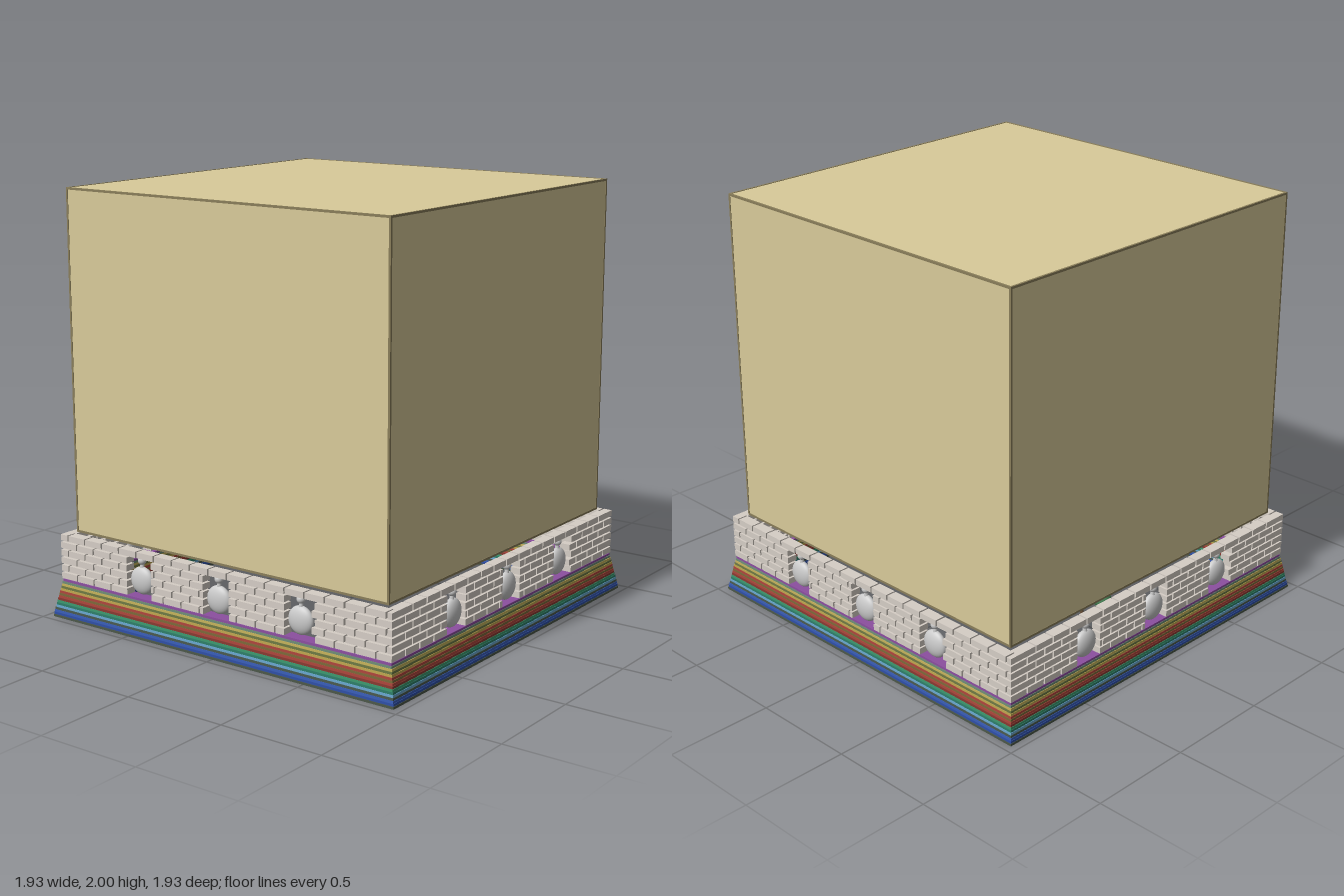
import * as THREE from 'three';

const mat = (color) => new THREE.MeshStandardMaterial({ color });

function add(parent, name, geometry, material, x = 0, y = 0, z = 0) {
  const mesh = new THREE.Mesh(geometry, material);
  mesh.name = name;
  mesh.position.set(x, y, z);
  parent.add(mesh);
  return mesh;
}

function group(parent, name) {
  const g = new THREE.Group();
  g.name = name;
  parent.add(g);
  return g;
}

const box = (w, h, d) => new THREE.BoxGeometry(w, h, d);

// Square ring with mitred sides, lying flat from y = 0 to y = height
function ringGeometry(outer, inner, height) {
  const square = (path, r) => path.moveTo(-r, -r).lineTo(r, -r).lineTo(r, r).lineTo(-r, r).closePath();
  const shape = square(new THREE.Shape(), outer);
  shape.holes.push(square(new THREE.Path(), inner));
  return new THREE.ExtrudeGeometry(shape, { depth: height, bevelEnabled: false }).rotateX(-Math.PI / 2);
}

const BASE_TOP = 0.18, ROWS = 6, ROW = 0.22 / ROWS, GAP = 0.008;
const BRICK = 0.1055, THICK = 0.05, WALL = 0.908, OPENING = 0.073;
const openings = [-0.45, 0, 0.45];

// Stack of coloured strata, each a little narrower than the one below
function buildBase(parent) {
  const colors = [0x4c584a, 0x2f50a8, 0x3a5fba, 0x4a5a50, 0x6aa9d2, 0x2e7f6a, 0x3d9a70, 0x8a3a32,
    0xb0463c, 0x7d6a3a, 0xb0463c, 0xc0a850, 0x6f7a44, 0xc8b45c, 0x6f8f78, 0x8c4fa0];
  const base = group(parent, 'layeredBase');
  const h = BASE_TOP / colors.length;
  colors.forEach((c, i) => {
    const outer = 0.965 - 0.035 * i / (colors.length - 1);
    add(base, 'baseLayer', ringGeometry(outer, 0.87, h), mat(c), 0, i * h, 0);
  });
}

// One brick wall along x: running bond, cut by three openings under the top course
function buildWall(parent, half, material) {
  const wall = group(parent, 'brickWall');
  const edges = [-half];
  openings.forEach((c) => edges.push(c - OPENING, c + OPENING));
  edges.push(half);
  for (let r = 0; r < ROWS; r++) {
    const spans = [];
    if (r === ROWS - 1) spans.push([-half, half]);
    else for (let i = 0; i < edges.length; i += 2) spans.push([edges[i], edges[i + 1]]);
    const start = 0.062 + (r % 2 ? 0 : BRICK / 2);
    for (let k = -11; k < 11; k++) {
      const a = start + k * BRICK;
      for (const [s, e] of spans) {
        const x0 = Math.max(a, s), x1 = Math.min(a + BRICK, e);
        if (x1 - x0 < 0.015) continue;
        const left = x0 === s ? x0 : x0 + GAP / 2, right = x1 === e ? x1 : x1 - GAP / 2;
        add(wall, 'brick', box(right - left, ROW - GAP, THICK), material,
          (left + right) / 2, BASE_TOP + (r + 0.5) * ROW, 0);
      }
    }
  }
  return wall;
}

// Flattened round ornament with a small bead on top
function buildOrnament(parent, x, material) {
  const g = group(parent, 'ornament');
  g.position.x = x;
  const body = add(g, 'ornamentBody', new THREE.SphereGeometry(0.065, 32, 20), material, 0, 0.26, 0);
  body.scale.z = 0.45;
  add(g, 'ornamentNeck', new THREE.CylinderGeometry(0.008, 0.012, 0.03, 12), material, 0, 0.328, 0);
  add(g, 'ornamentBead', new THREE.SphereGeometry(0.02, 20, 14), material, 0, 0.354, 0);
}

// Large block with thin darker edge trim
function buildBlock(parent) {
  const g = group(parent, 'displayBlock');
  const lo = 0.405, hi = 2, r = 0.88, t = 0.01, mid = (lo + hi) / 2;
  add(g, 'block', box(2 * r - 0.004, hi - lo - 0.004, 2 * r - 0.004), mat(0xd9cb9a), 0, mid, 0);
  const trim = mat(0x8a7e5a);
  const e = r - t / 2;
  for (const s of [-1, 1]) {
    for (const u of [-1, 1]) add(g, 'cornerTrim', box(t, hi - lo, t), trim, s * e, mid, u * e);
    for (const y of [lo + t / 2, hi - t / 2]) {
      add(g, 'edgeTrim', box(2 * r, t, t), trim, 0, y, s * e);
      add(g, 'edgeTrim', box(t, t, 2 * r), trim, s * e, y, 0);
    }
  }
  // Shallow strip across the underside
  add(g, 'undersideStrip', box(1.74, 0.008, 0.25), mat(0xd9cb9a), 0, lo - 0.002, 0.3);
}

// Row of small trees, a curved garland and a little hut inside the hollow
function buildInterior(parent) {
  const g = group(parent, 'interior');
  const leaf = mat(0x4f8f5f), bark = mat(0x6b5138);
  for (let i = 0; i < 6; i++) {
    const tree = group(g, 'tree');
    tree.position.set(-0.16 - i * 0.115, 0, -0.15);
    add(tree, 'treeTrunk', new THREE.CylinderGeometry(0.006, 0.008, 0.1, 8), bark, 0, 0.22, 0);
    add(tree, 'treeCrown', new THREE.IcosahedronGeometry(0.045, 1), leaf, 0, 0.295, 0);
  }
  const points = [[-0.17, 0.38], [-0.15, 0.26], [-0.07, 0.195], [0.07, 0.195], [0.15, 0.26], [0.17, 0.38]]
    .map(([z, y]) => new THREE.Vector3(0.42, y, z));
  add(g, 'garland', new THREE.TubeGeometry(new THREE.CatmullRomCurve3(points), 40, 0.01, 8), mat(0x2f7a5c));
  add(g, 'hut', box(0.09, 0.06, 0.1), mat(0xcfc4a4), 0.45, 0.33, 0);
  add(g, 'hutRoof', box(0.1, 0.012, 0.11), mat(0x7d7460), 0.45, 0.366, 0);
}

export function createModel() {
  const model = new THREE.Group();
  model.name = 'displayCase';
  buildBase(model);

  // Four walls, the front and back ones overlapping the sides at the corners
  const brick = mat(0xd6cec6), pearl = mat(0xcccccc);
  for (let i = 0; i < 4; i++) {
    const side = group(model, ['frontSide', 'leftSide', 'backSide', 'rightSide'][i]);
    const half = i % 2 ? WALL - THICK / 2 : WALL + THICK / 2;
    buildWall(side, half, brick).position.z = WALL;
    const ornaments = group(side, 'ornaments');
    ornaments.position.z = WALL;
    openings.forEach((x) => buildOrnament(ornaments, x, pearl));
    side.rotation.y = i * Math.PI / 2;
  }

  buildBlock(model);
  buildInterior(model);
  return model;
}
